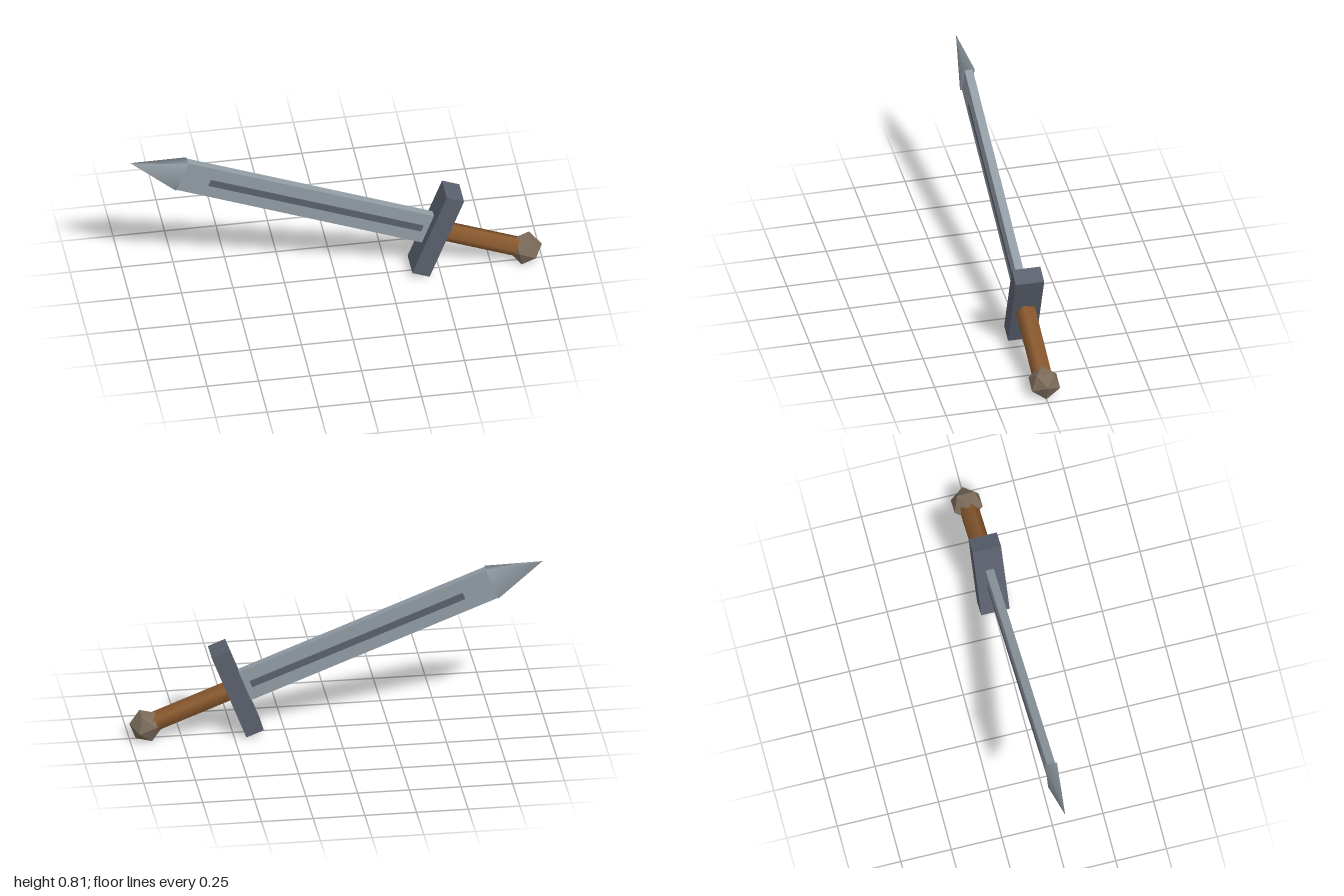
import * as THREE from 'three';

function material(name, color) {
  const m = new THREE.MeshStandardMaterial({ color });
  m.name = name;
  return m;
}

export function createModel() {
  const steel = material('steel', 0x919ca4);
  const darkSteel = material('dark steel', 0x5a606d);
  const leather = material('brown leather', 0x8b5a2f);
  const bronze = material('dull bronze', 0x7b6b5a);

  // The sword is built along local y with the guard at the origin.
  const sword = new THREE.Group();
  sword.name = 'sword';
  const add = (name, geometry, mat, y) => {
    const mesh = new THREE.Mesh(geometry, mat);
    mesh.name = name;
    mesh.position.y = y;
    sword.add(mesh);
  };
  // Box spanning y0 to y1
  const bar = (name, width, y0, y1, depth, mat) =>
    add(name, new THREE.BoxGeometry(width, y1 - y0, depth), mat, (y0 + y1) / 2);

  bar('guard', 0.462, -0.045, 0.045, 0.14, darkSteel);
  bar('blade', 0.162, 0.03, 1.327, 0.04, steel);
  // Fuller strip stands slightly proud on both faces
  bar('fuller', 0.034, 0.075, 1.181, 0.051, darkSteel);

  // Flattened four-sided point
  const tip = new THREE.ConeGeometry(0.115, 0.266, 4);
  tip.rotateY(Math.PI / 4);
  tip.scale(1, 1, 0.36);
  add('bladeTip', tip, steel, 1.327 + 0.133);

  // Five-sided grip and faceted pommel
  add('grip', new THREE.CylinderGeometry(0.05, 0.05, 0.42, 5), leather, -0.24);
  add('pommel', new THREE.IcosahedronGeometry(0.081, 0), bronze, -0.467);

  // Lay the sword over with its tip raised
  sword.rotation.z = 1.2;
  sword.position.set(0.485, 0.235, 0);

  const model = new THREE.Group();
  model.name = 'model';
  model.add(sword);
  return model;
}
